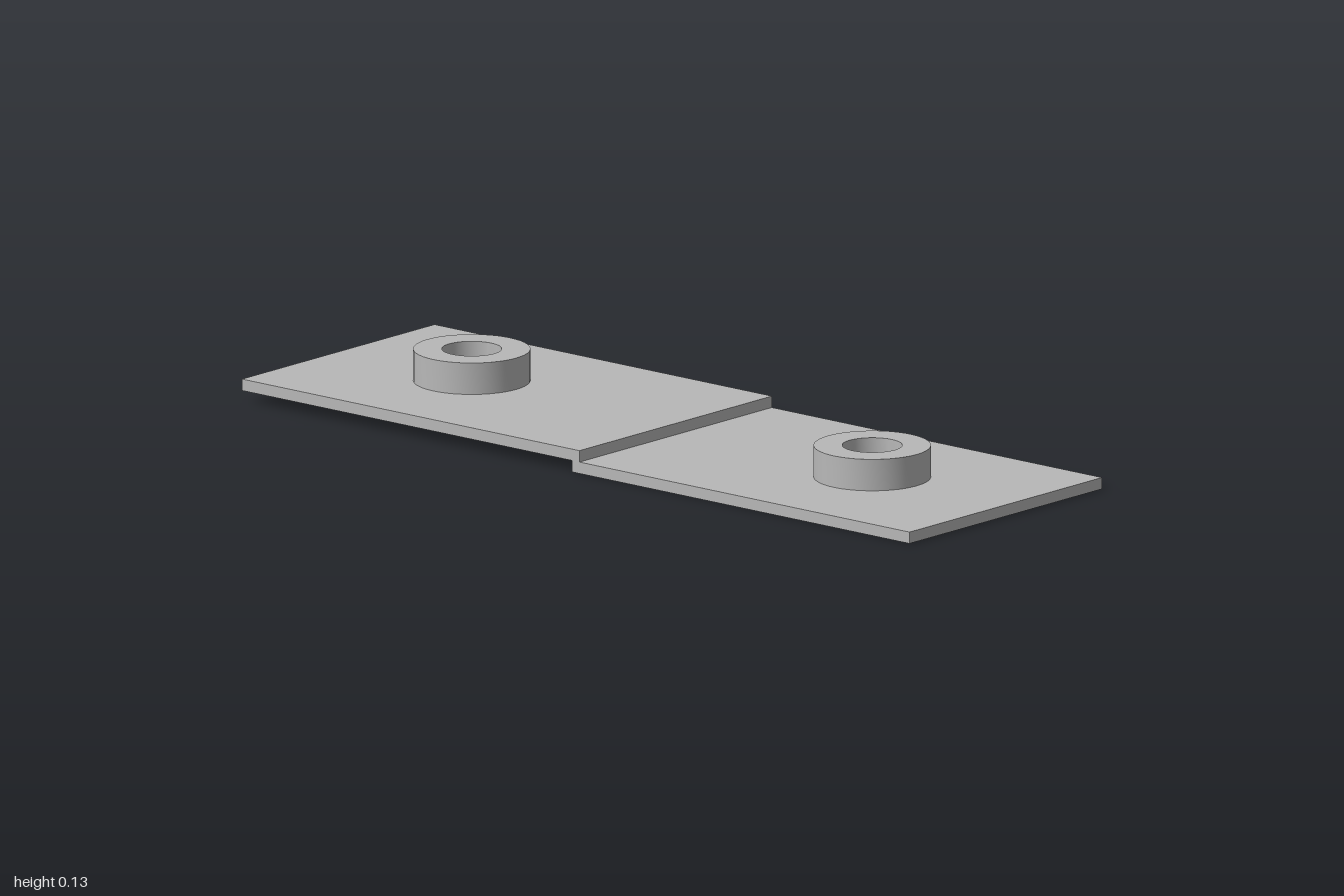
import * as THREE from 'three';
import { toCreasedNormals } from 'three/addons/utils/BufferGeometryUtils.js';

const WIDTH = 0.667, THICK = 0.0267;
const HOLE_R = 0.046, RING_IN = 0.068, RING_OUT = 0.133, RING_H = 0.0735;
const LAP = 0.011, BOSS_Z = 0.6;

// Flat plate spanning z0..z1 with a round through-hole at holeZ
function plateGeometry(z0, z1, holeZ) {
  const w = WIDTH / 2;
  // shape y becomes -z once the plate is laid flat
  const shape = new THREE.Shape([
    new THREE.Vector2(-w, -z1), new THREE.Vector2(w, -z1),
    new THREE.Vector2(w, -z0), new THREE.Vector2(-w, -z0),
  ]);
  const hole = new THREE.Path();
  hole.absarc(0, -holeZ, HOLE_R, 0, Math.PI * 2, true);
  shape.holes.push(hole);
  const geo = new THREE.ExtrudeGeometry(shape, { depth: THICK, bevelEnabled: false, curveSegments: 24 });
  geo.rotateX(-Math.PI / 2);
  return toCreasedNormals(geo, Math.PI / 6);
}

// Raised collar, open underneath where it sits on the plate
function collarGeometry() {
  const profile = [[RING_OUT, 0], [RING_OUT, RING_H], [RING_IN, RING_H], [RING_IN, 0]]
    .map(([r, y]) => new THREE.Vector2(r, y));
  return toCreasedNormals(new THREE.LatheGeometry(profile, 48), Math.PI / 6);
}

export function createModel() {
  const model = new THREE.Group();
  model.name = 'lappedPlates';
  const steel = new THREE.MeshStandardMaterial({ color: 0xb8b8b8 });
  steel.name = 'grey steel';

  // The two plates overlap slightly in the middle, the rear one on top
  const halves = [
    { name: 'front', y: 0, z0: -LAP, z1: 1, bossZ: BOSS_Z },
    { name: 'rear', y: THICK, z0: -1, z1: LAP, bossZ: -BOSS_Z },
  ];
  for (const { name, y, z0, z1, bossZ } of halves) {
    const half = new THREE.Group();
    half.name = name + 'Half';
    half.position.y = y;

    const plate = new THREE.Mesh(plateGeometry(z0, z1, bossZ), steel);
    plate.name = name + 'Plate';

    const collar = new THREE.Mesh(collarGeometry(), steel);
    collar.name = name + 'Collar';
    collar.position.set(0, THICK, bossZ);

    half.add(plate, collar);
    model.add(half);
  }
  return model;
}
